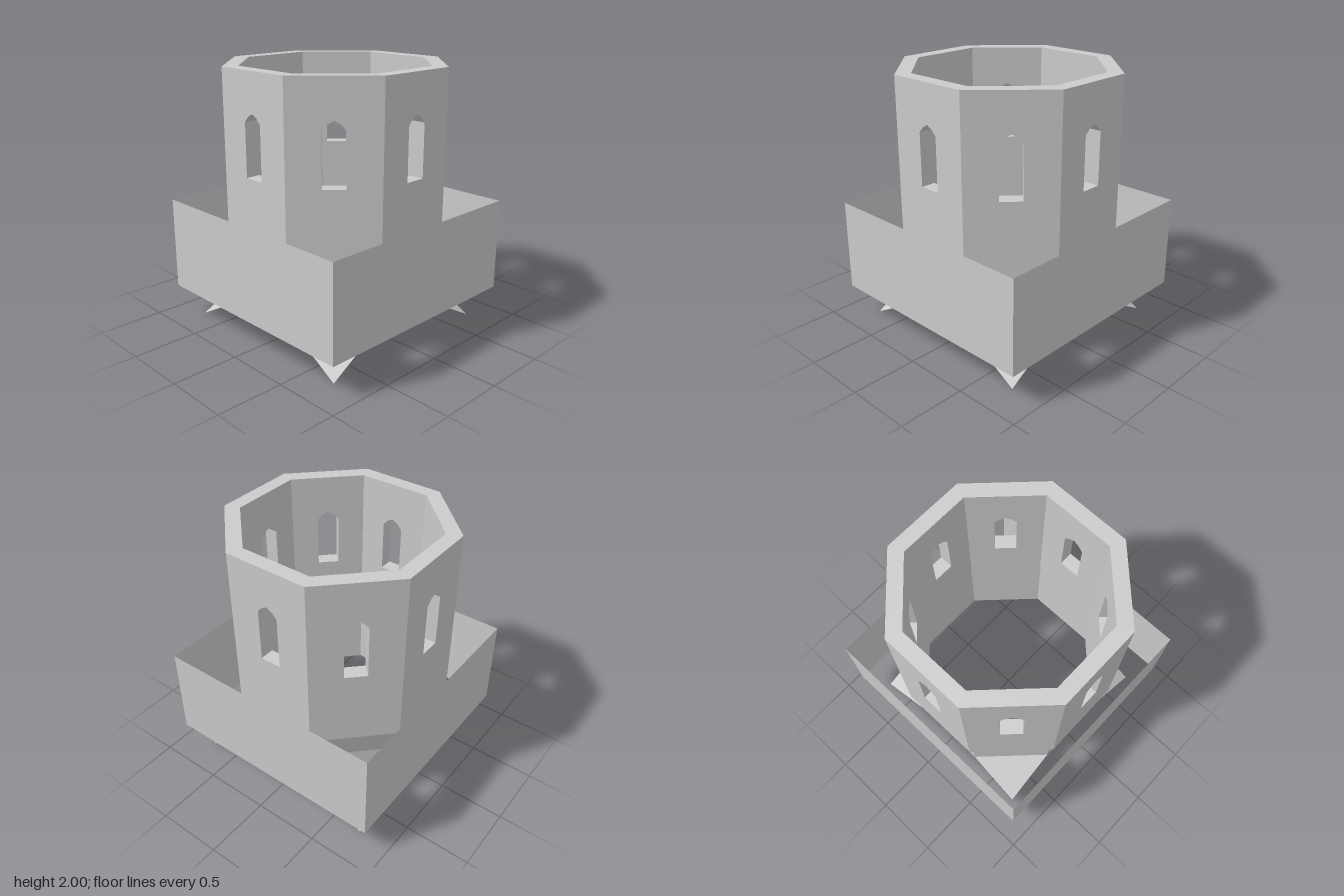
import * as THREE from 'three';

export function createModel() {
  const model = new THREE.Group();
  const mat = new THREE.MeshStandardMaterial({ color: 0xcccccc, flatShading: true });
  const sheet = new THREE.MeshStandardMaterial({ color: 0xcccccc, flatShading: true, side: THREE.DoubleSide });
  const add = (name, geometry, material = mat) => {
    const mesh = new THREE.Mesh(geometry, material);
    mesh.name = name;
    model.add(mesh);
    return mesh;
  };

  const tan = Math.tan(Math.PI / 8), cos = Math.cos(Math.PI / 8);
  const outer = 0.773, inner = 0.665; // face distances of the octagonal wall
  const base = 0.91, top = 2;

  // One wall face with a pointed window, mitred at both ends
  const half = outer * tan;
  const shape = new THREE.Shape([
    [-half, base], [half, base], [half, top], [-half, top],
  ].map(p => new THREE.Vector2(...p)));
  shape.holes.push(new THREE.Path([
    [-0.08, 1.26], [-0.08, 1.65], [-0.045, 1.69], [0, 1.715], [0.045, 1.69], [0.08, 1.65], [0.08, 1.26],
  ].map(p => new THREE.Vector2(...p))));
  const panel = new THREE.ExtrudeGeometry(shape, { depth: outer - inner, bevelEnabled: false });
  panel.translate(0, 0, inner);
  const pos = panel.attributes.position;
  for (let i = 0; i < pos.count; i++) {
    const x = pos.getX(i);
    if (Math.abs(x) > 0.2) pos.setX(i, Math.sign(x) * pos.getZ(i) * tan);
  }
  panel.computeVertexNormals();
  for (let i = 0; i < 8; i++) add('towerWall', panel).rotation.y = i * Math.PI / 4;

  // Lower tower ring, stepped in towards its foot
  const profile = [
    [0.68, base], [0.68, 0.24], [0.722, 0.24], [0.722, 0.5], [outer, 0.7], [outer, base],
  ].map(([r, y]) => new THREE.Vector2(r / cos, y));
  add('towerBase', new THREE.LatheGeometry(profile, 8, Math.PI / 8), sheet);

  // Open square skirt around the base
  const skirt = new THREE.CylinderGeometry(0.882 * Math.SQRT2, 0.882 * Math.SQRT2, 0.71, 4, 1, true, Math.PI / 4);
  skirt.translate(0, 0.595, 0);
  add('skirt', skirt, sheet);

  // Triangular corner feet reaching down from the diagonal faces
  const a = 0.722, b = a * tan, tip = 0.74;
  const foot = new THREE.BufferGeometry();
  foot.setAttribute('position', new THREE.Float32BufferAttribute(
    [a, 0.24, b, b, 0.24, a, tip, 0, tip], 3));
  foot.computeVertexNormals();
  for (let i = 0; i < 4; i++) add('cornerFoot', foot, sheet).rotation.y = i * Math.PI / 2;

  return model;
}
